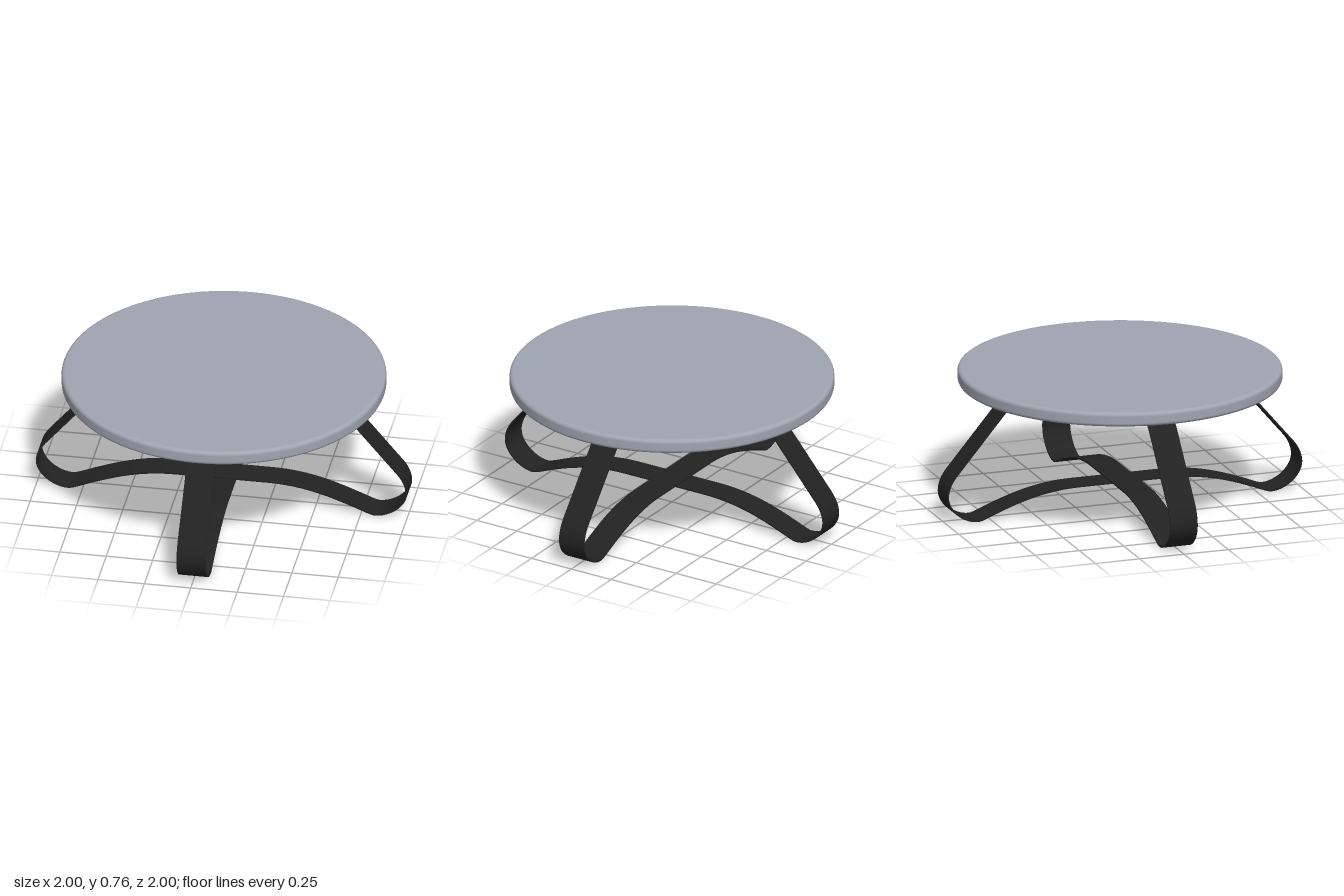
import * as THREE from 'three';
import { toCreasedNormals } from 'three/addons/utils/BufferGeometryUtils.js';

const BAND_WIDTH = 0.155;
const HALF_THICK = 0.004;

// Centre line of one bent band, from tab to tab, lying in the XY plane
function bandPath(midY) {
  const p = new THREE.Path();
  p.moveTo(0.29, 0.676);
  p.lineTo(0.57, 0.676);
  p.quadraticCurveTo(0.58, 0.676, 0.59, 0.667);
  p.bezierCurveTo(0.63, 0.632, 0.665, 0.605, 0.70, 0.56);
  p.lineTo(0.95, 0.265);
  p.bezierCurveTo(0.98, 0.228, 0.996, 0.19, 0.996, 0.15);
  p.bezierCurveTo(0.996, 0.08, 0.91, 0.005, 0.825, 0.005);
  p.quadraticCurveTo(0.805, 0.007, 0.76, 0.026);
  p.bezierCurveTo(0.60, 0.09, 0.45, midY, 0.25, midY);
  p.lineTo(0, midY);
  const half = p.getPoints(12);
  const mirrored = half.slice(0, -1).reverse().map(v => new THREE.Vector2(-v.x, v.y));
  return half.concat(mirrored);
}

// Thicken the centre line into a closed outline and extrude it to the band width
function bandGeometry(midY) {
  const pts = bandPath(midY);
  const offset = side => pts.map((v, i) => {
    const a = pts[Math.max(i - 1, 0)];
    const b = pts[Math.min(i + 1, pts.length - 1)];
    const t = b.clone().sub(a).normalize();
    return new THREE.Vector2(v.x - t.y * side, v.y + t.x * side);
  });
  const outline = offset(HALF_THICK).concat(offset(-HALF_THICK).reverse());
  const geo = new THREE.ExtrudeGeometry(new THREE.Shape(outline), {
    depth: BAND_WIDTH, bevelEnabled: false, curveSegments: 1,
  });
  geo.translate(0, 0, -BAND_WIDTH / 2);
  return toCreasedNormals(geo, 0.7);
}

// Disc with softly rounded upper and lower rims
function topGeometry(radius, y0, y1, r) {
  const profile = [new THREE.Vector2(0, y0), new THREE.Vector2(radius - r - 0.002, y0)];
  for (const [cy, start] of [[y0 + r, -Math.PI / 2], [y1 - r, 0]]) {
    for (let i = 0; i <= 6; i++) {
      const a = start + (i / 6) * Math.PI / 2;
      profile.push(new THREE.Vector2(radius - r + r * Math.cos(a), cy + r * Math.sin(a)));
    }
  }
  profile.push(new THREE.Vector2(radius - r - 0.002, y1), new THREE.Vector2(0, y1));
  return new THREE.LatheGeometry(profile, 96);
}

export function createModel() {
  const group = new THREE.Group();
  const grey = new THREE.MeshStandardMaterial({ color: 0xa0a4b1 });
  grey.name = 'greyTop';
  const black = new THREE.MeshStandardMaterial({ color: 0x222222 });
  black.name = 'blackMetal';

  const add = (name, geo, mat, parent) => {
    const mesh = new THREE.Mesh(geo, mat);
    mesh.name = name;
    parent.add(mesh);
    return mesh;
  };

  add('tableTop', topGeometry(0.862, 0.68, 0.757, 0.02), grey, group);

  // Two crossing leg bands, each with screws under its tabs
  const screwGeo = new THREE.CylinderGeometry(0.013, 0.009, 0.009, 16);
  [['sideLegs', 0.147, 0], ['frontBackLegs', 0.139, Math.PI / 2]].forEach(([name, midY, turn]) => {
    const legs = new THREE.Group();
    legs.name = name;
    legs.rotation.y = turn;
    add('band', bandGeometry(midY), black, legs);
    for (const side of [-1, 1]) {
      for (const x of [0.38, 0.46]) {
        add('screw', screwGeo, black, legs).position.set(side * x, 0.6685, 0);
      }
    }
    group.add(legs);
  });

  // Bolt joining the bands where they cross
  add('centreBolt', new THREE.CylinderGeometry(0.012, 0.014, 0.004, 16), black, group)
    .position.set(0, 0.152, 0);

  return group;
}
